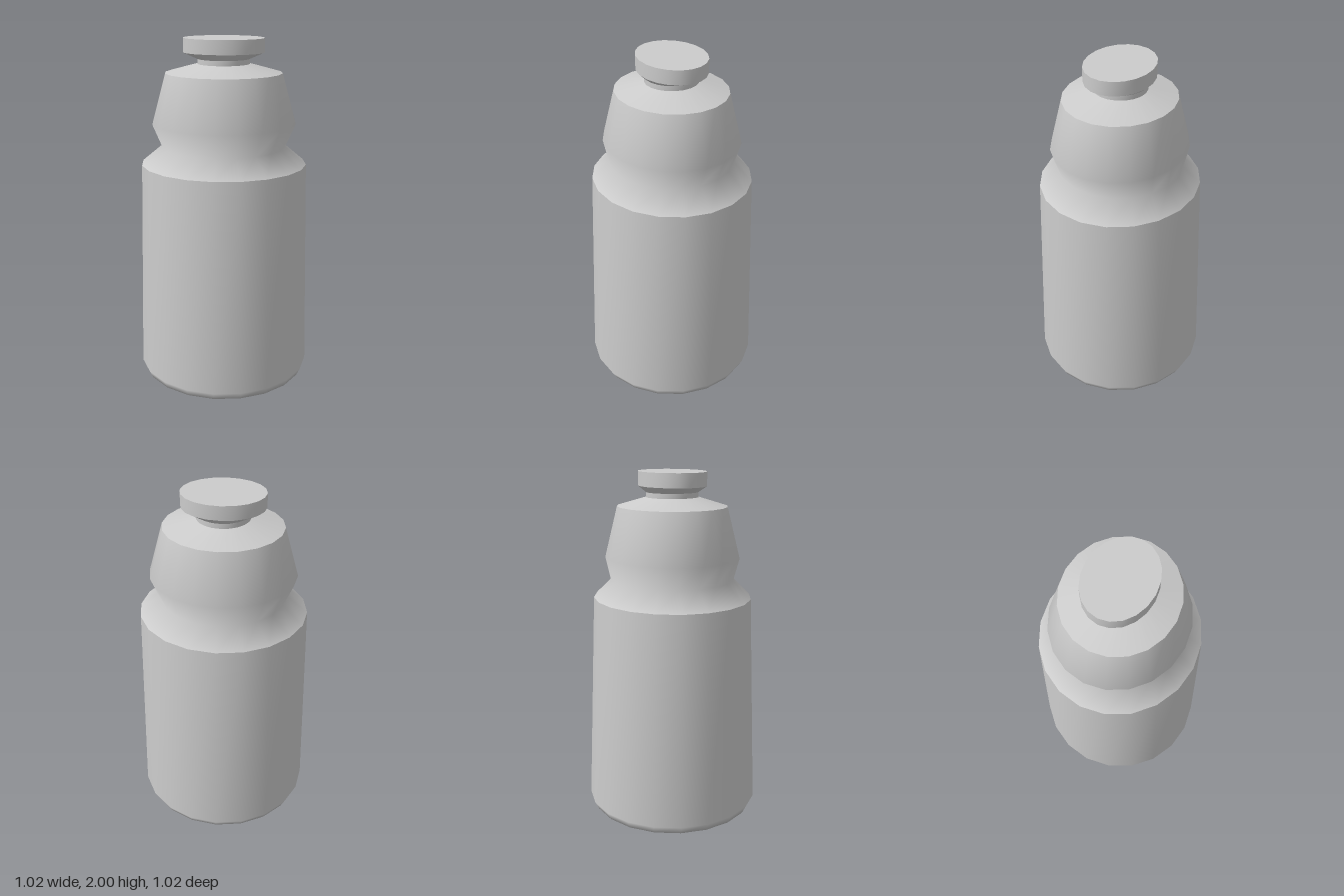
import * as THREE from 'three';

const SIDES = 20;

// Lofts elliptical rings [y, radiusX, radiusZ]; smooth within one call, sharp between calls
function loft(name, rings, material) {
  const positions = [], index = [];
  for (const [y, rx, rz] of rings) {
    for (let i = 0; i < SIDES; i++) {
      const a = (i / SIDES) * Math.PI * 2;
      positions.push(rx * Math.sin(a), y, rz * Math.cos(a));
    }
  }
  for (let r = 0; r < rings.length - 1; r++) {
    for (let i = 0; i < SIDES; i++) {
      const j = (i + 1) % SIDES;
      const a = r * SIDES + i, b = r * SIDES + j;
      index.push(a, b, b + SIDES, a, b + SIDES, a + SIDES);
    }
  }
  const geometry = new THREE.BufferGeometry();
  geometry.setAttribute('position', new THREE.Float32BufferAttribute(positions, 3));
  geometry.setIndex(index);
  geometry.computeVertexNormals();
  const mesh = new THREE.Mesh(geometry, material);
  mesh.name = name;
  return mesh;
}

export function createModel() {
  const group = new THREE.Group();
  group.name = 'bottle';
  const material = new THREE.MeshStandardMaterial({ color: 0xcccccc });

  const baseCentre = [0.07, 0, 0];
  const baseRim = [0, 0.49, 0.487];
  const bodyTop = [1.285, 0.48, 0.455];
  const shoulderTop = [1.807, 0.335, 0.312];
  const neckBottom = [1.857, 0.15, 0.15];
  const neckTop = [1.885, 0.15, 0.15];
  const capBottom = [1.92, 0.232, 0.188];
  const capTop = [2, 0.232, 0.188];

  group.add(
    // Tapered body with a bevelled foot and a shallow hollow underneath
    loft('body', [baseCentre, baseRim, [0.045, 0.51, 0.51], bodyTop], material),
    // Pinched waist and the bulge above it
    loft('waistAndBulge', [bodyTop, [1.387, 0.357, 0.357], [1.52, 0.415, 0.383], shoulderTop], material),
    loft('shoulder', [shoulderTop, neckBottom], material),
    loft('neck', [neckBottom, neckTop], material),
    // Oval cap
    loft('capUnderside', [neckTop, capBottom], material),
    loft('capRim', [capBottom, capTop], material),
    loft('capTop', [capTop, [2, 0, 0]], material),
  );
  return group;
}
